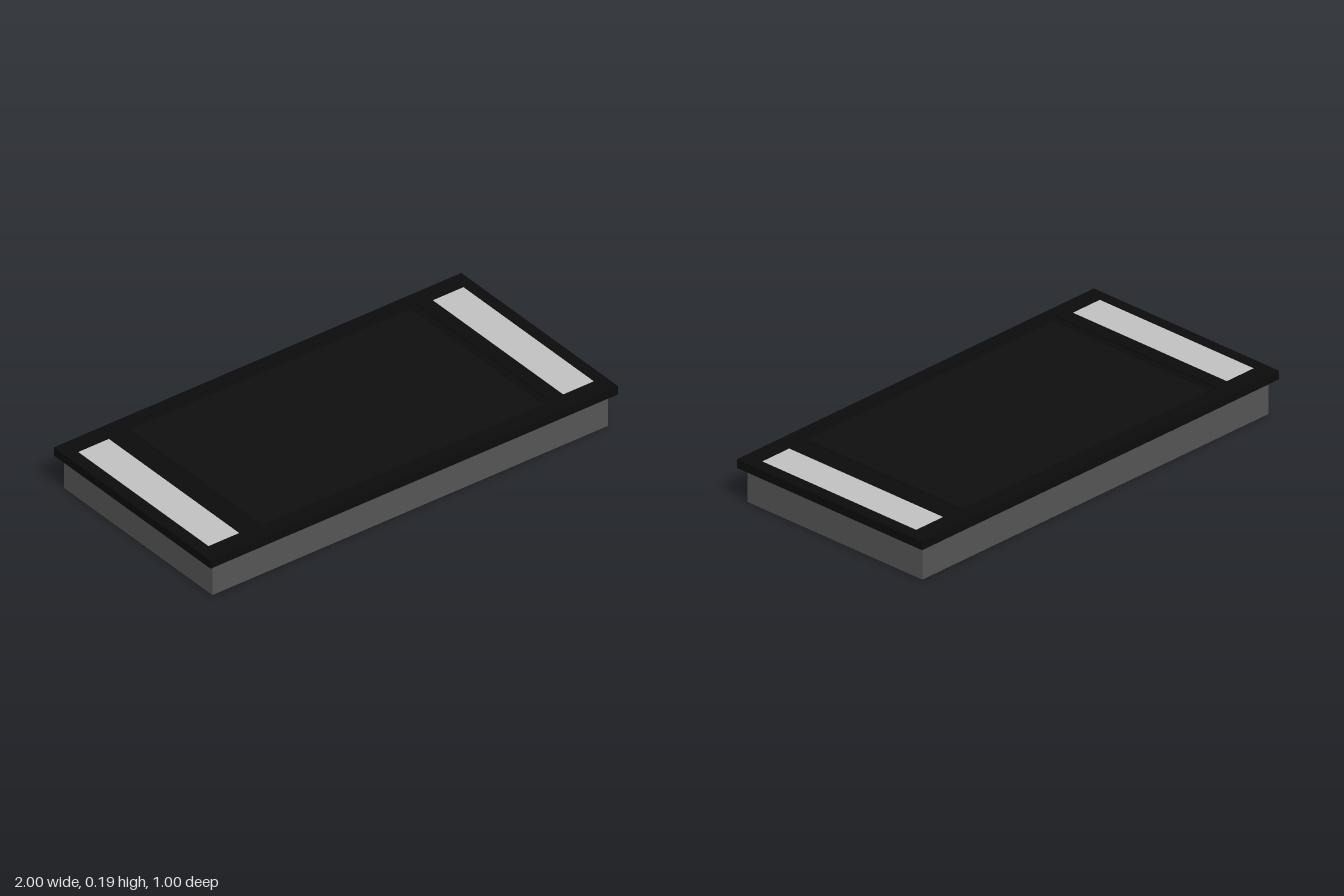
import * as THREE from 'three';

const mat = (name, color) => {
  const m = new THREE.MeshStandardMaterial({ color });
  m.name = name;
  return m;
};

export function createModel() {
  const group = new THREE.Group();
  const casingGrey = mat('casing grey', 0x565656);
  const frameBlack = mat('frame black', 0x0c0c0c);
  const glassBlack = mat('glass black', 0x0f0f0f);
  const panelSilver = mat('panel silver', 0xc2c2c2);

  const add = (name, geometry, material, x, y, z) => {
    const mesh = new THREE.Mesh(geometry, material);
    mesh.name = name;
    mesh.position.set(x, y, z);
    group.add(mesh);
    return mesh;
  };
  const rect = (Type, w, d) => new Type([
    new THREE.Vector2(-w / 2, -d / 2), new THREE.Vector2(w / 2, -d / 2),
    new THREE.Vector2(w / 2, d / 2), new THREE.Vector2(-w / 2, d / 2),
  ]);

  // Lower casing
  add('casing', new THREE.BoxGeometry(1.94, 0.15, 0.945), casingGrey, 0, 0.075, 0);

  // Overhanging lid: a base slab and a thin rim around the screen recess
  add('lidBase', new THREE.BoxGeometry(2, 0.033, 1), frameBlack, 0, 0.1665, 0);
  const rim = rect(THREE.Shape, 2, 1);
  rim.holes.push(rect(THREE.Path, 1.46, 0.9));
  const rimGeometry = new THREE.ExtrudeGeometry(rim, { depth: 0.005, bevelEnabled: false });
  rimGeometry.rotateX(-Math.PI / 2);
  add('lidRim', rimGeometry, frameBlack, 0, 0.183, 0);

  // Screen set in the recess with a narrow groove around it
  add('screen', new THREE.BoxGeometry(1.38, 0.004, 0.84), glassBlack, 0, 0.185, 0);

  // Side panels
  for (const side of [-1, 1]) {
    add(side > 0 ? 'leftPanel' : 'rightPanel',
      new THREE.BoxGeometry(0.15, 0.004, 0.83), panelSilver, side * 0.87, 0.187, 0);
  }
  return group;
}
